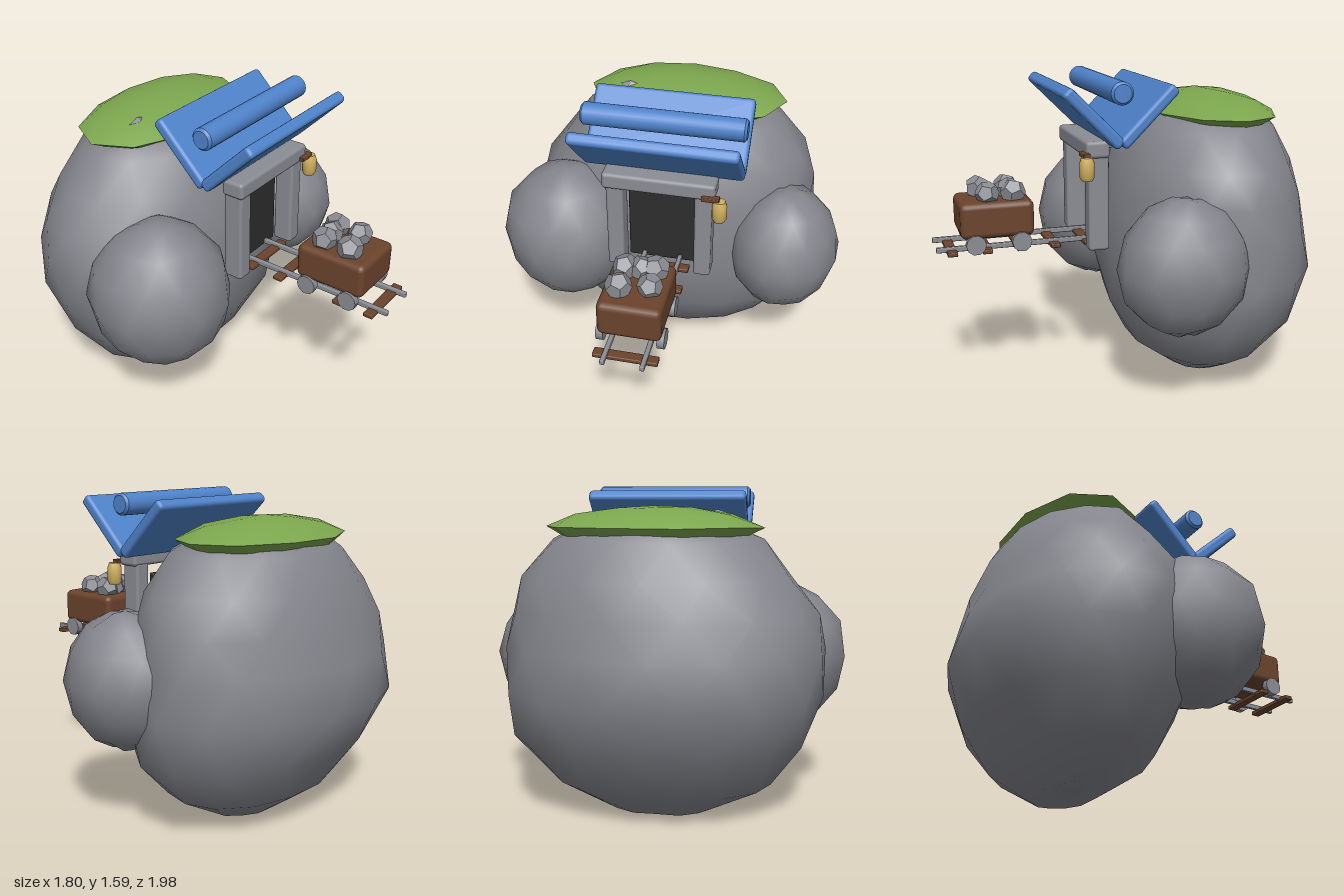
import * as THREE from 'three';
import { RoundedBoxGeometry } from 'three/addons/geometries/RoundedBoxGeometry.js';
import { toCreasedNormals } from 'three/addons/utils/BufferGeometryUtils.js';

const paint = (name, color, extra = {}) => {
  const m = new THREE.MeshStandardMaterial({ color, ...extra });
  m.name = name;
  return m;
};

export function createModel() {
  const model = new THREE.Group();
  model.name = 'mineHill';

  const rock = paint('rockGrey', 0x85868d);
  const stone = paint('beamGrey', 0x8b8d94);
  const ore = paint('oreGrey', 0x8b8d94, { flatShading: true });
  const grass = paint('grassGreen', 0x7ca64e);
  const blue = paint('roofBlue', 0x4f83cb);
  const brown = paint('woodBrown', 0x6b432c);
  const dark = paint('tunnelBlack', 0x2d2d2d);
  const gold = paint('lampGold', 0xd2b15f);

  let seed = 7;
  const rand = () => (seed = (seed * 16807) % 2147483647) / 2147483647 - 0.5;

  function add(name, geo, mat, x = 0, y = 0, z = 0, parent = model) {
    const mesh = new THREE.Mesh(geo, mat);
    mesh.name = name;
    mesh.position.set(x, y, z);
    parent.add(mesh);
    return mesh;
  }

  // box given by its limits, with softly rounded edges
  function box(name, mat, [x0, x1], [y0, y1], [z0, z1], r = 0.008, parent = model) {
    return add(name, new RoundedBoxGeometry(x1 - x0, y1 - y0, z1 - z0, 2, r), mat,
      (x0 + x1) / 2, (y0 + y1) / 2, (z0 + z1) / 2, parent);
  }

  // closed lump lofted through oval rings: [y, centreX, radiusX, frontZ, backZ]
  function lump(rings, sides, rough) {
    const pos = [], index = [];
    rings.forEach(([y, cx, rx, zf, zb], j) => {
      for (let i = 0; i < sides; i++) {
        const a = ((i + (j % 2) * 0.5) / sides) * Math.PI * 2;
        const k = 1 + rand() * rough;
        pos.push(cx + Math.sin(a) * rx * k, y + rand() * rough * 0.35,
          (zf + zb) / 2 + Math.cos(a) * (zf - zb) / 2 * k);
      }
    });
    for (let j = 0; j < rings.length - 1; j++) {
      for (let i = 0; i < sides; i++) {
        const n = (i + 1) % sides, a = j * sides, b = a + sides;
        if (j % 2) index.push(a + i, a + n, b + n, a + i, b + n, b + i);
        else index.push(a + i, a + n, b + i, a + n, b + n, b + i);
      }
    }
    // poles
    const last = (rings.length - 1) * sides, low = rings[0], high = rings[rings.length - 1];
    const base = rings.length * sides;
    pos.push(low[1], low[0] + 0.01, (low[3] + low[4]) / 2, high[1], high[0] + 0.01, (high[3] + high[4]) / 2);
    for (let i = 0; i < sides; i++) {
      const n = (i + 1) % sides;
      index.push(base, n, i, base + 1, last + i, last + n);
    }
    const geo = new THREE.BufferGeometry();
    geo.setAttribute('position', new THREE.Float32BufferAttribute(pos, 3));
    geo.setIndex(index);
    geo.computeVertexNormals();
    return geo;
  }

  const ball = (cx, cy, cz, rx, ry, rz) => [-0.97, -0.8, -0.45, 0, 0.45, 0.8, 0.97].map((t) => {
    const s = Math.sqrt(1 - t * t);
    return [cy + t * ry, cx, rx * s, cz + rz * s, cz - rz * s];
  });

  // hill and its two side boulders
  add('hill', lump([
    [0.01, -0.01, 0.26, -0.24, -0.53],
    [0.15, -0.02, 0.53, -0.04, -0.73],
    [0.37, 0.0, 0.72, 0.08, -0.87],
    [0.61, -0.03, 0.78, 0.12, -0.99],
    [0.82, -0.04, 0.78, 0.11, -0.96],
    [1.0, -0.03, 0.74, 0.08, -0.91],
    [1.16, 0, 0.66, 0.03, -0.86],
    [1.34, 0, 0.51, -0.05, -0.77],
    [1.41, 0, 0.36, -0.16, -0.68],
  ], 14, 0.03), rock);
  add('rightBoulder', lump(ball(-0.55, 0.74, -0.02, 0.36, 0.38, 0.36), 12, 0.05), rock);
  add('leftBoulder', lump(ball(0.61, 0.735, -0.105, 0.29, 0.335, 0.325), 12, 0.05), rock);

  // grass cap with stones poking through
  add('grassCap', toCreasedNormals(lump([
    [1.31, 0.01, 0.36, -0.23, -0.68],
    [1.4, 0.01, 0.53, -0.13, -0.77],
    [1.46, 0.01, 0.38, -0.22, -0.68],
    [1.49, 0.01, 0.18, -0.34, -0.56],
  ], 10, 0.02), 0.8), grass);
  for (const [x, y, z] of [[-0.28, 1.462, -0.355], [-0.08, 1.44, -0.215]]) {
    add('grassStone', new THREE.OctahedronGeometry(1), ore, x, y, z).scale.set(0.06, 0.02, 0.02);
  }

  // tunnel entrance
  box('tunnelDoor', dark, [-0.167, 0.181], [0.75, 1.175], [0.134, 0.166]);
  for (const s of [-1, 1]) {
    const x = 0.007 + s * 0.222;
    box('post', stone, [x - 0.043, x + 0.043], [0.745, 1.23], [0.16, 0.265], 0.015);
  }
  box('lintel', stone, [-0.275, 0.289], [1.215, 1.3], [0.16, 0.28], 0.018);

  // open roof: two tilted panels and a ridge roller
  for (const s of [-1, 1]) {
    const panel = box('roofPanel', blue, [-0.395, 0.412], [1.396, 1.456], [0.134 + s * 0.136 - 0.19, 0.134 + s * 0.136 + 0.19], 0.02);
    panel.rotation.x = -s * Math.PI / 4;
  }
  const bevel = 0.012, r = 0.056, half = 0.4035;
  const roller = add('ridgeRoller', toCreasedNormals(new THREE.LatheGeometry([
    [0, -half], [r - bevel, -half], [r, -half + bevel], [r, half - bevel], [r - bevel, half], [0, half],
  ].map(([x, y]) => new THREE.Vector2(x, y)), 20), 0.6), blue, 0.0085, 1.541, 0.134);
  roller.rotation.z = Math.PI / 2;

  // hanging lamp
  box('lampBracket', brown, [0.225, 0.312], [1.224, 1.246], [0.265, 0.302], 0.004);
  const lamp = [[0, 1.118], [0.028, 1.118], [0.037, 1.135], [0.037, 1.205], [0.028, 1.23], [0, 1.23]];
  add('lamp', toCreasedNormals(new THREE.LatheGeometry(
    lamp.map(([x, y]) => new THREE.Vector2(x, y)), 12), 0.7), gold, 0.314, 0, 0.286);

  // track
  for (const x of [-0.086, 0.1]) box('rail', stone, [x - 0.011, x + 0.011], [0.754, 0.781], [0.13, 1.0], 0.005);
  for (let i = 0; i < 5; i++) {
    const z = 0.925 - i * 0.172;
    box('sleeper', brown, [-0.147, 0.161], [0.744, 0.766], [z - 0.025, z + 0.025], 0.005);
  }

  // loaded cart
  const cart = new THREE.Group();
  cart.name = 'cart';
  model.add(cart);
  box('cartBody', brown, [-0.145, 0.159], [0.82, 1.0], [0.513, 0.88], 0.03, cart);
  for (const z of [0.582, 0.81]) {
    for (const s of [-1, 1]) {
      const wheel = add('wheel', toCreasedNormals(new THREE.CylinderGeometry(0.05, 0.05, 0.035, 10), 0.7),
        stone, 0.007 + s * 0.145, 0.795, z, cart);
      wheel.rotation.z = Math.PI / 2;
    }
  }
  const lumps = [[-0.063, 0.76, 0.066], [0.078, 0.735, 0.062], [0.078, 0.605, 0.066], [-0.065, 0.62, 0.064], [0.01, 0.615, 0.06]];
  lumps.forEach(([x, z, size], i) => {
    const chunk = add('oreChunk', new THREE.DodecahedronGeometry(size), ore, x, 1.032, z, cart);
    chunk.rotation.set(i * 1.3, i * 0.9 + 0.4, i * 0.7);
  });

  return model;
}
